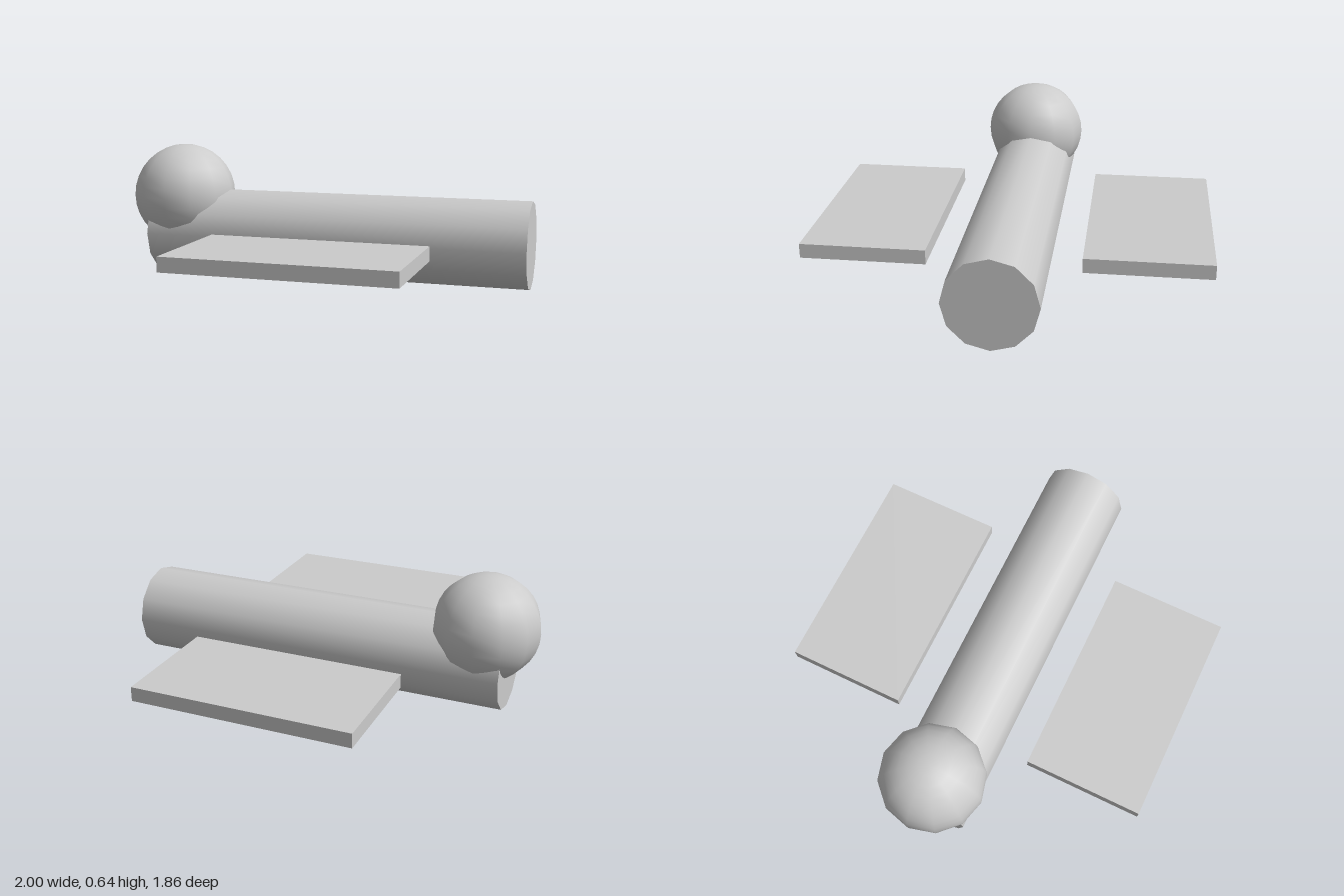
import * as THREE from 'three';

export function createModel() {
  const model = new THREE.Group();
  const material = new THREE.MeshStandardMaterial({ color: 0xcccccc });

  const addPart = (name, geometry, x, y, z) => {
    const mesh = new THREE.Mesh(geometry, material);
    mesh.name = name;
    mesh.position.set(x, y, z);
    model.add(mesh);
  };

  // Long twelve-sided body lying along x
  const radius = 0.209;
  const body = new THREE.CylinderGeometry(radius, radius, 1.863, 12).rotateZ(Math.PI / 2);
  addPart('body', body, 0.068, radius, 0);

  // Ball head sunk into the top of the body's end
  addPart('head', new THREE.SphereGeometry(0.253, 12, 16), -0.747, 0.388, 0);

  // Flat panels floating on either side
  for (const [name, side] of [['frontWing', 1], ['backWing', -1]]) {
    addPart(name, new THREE.BoxGeometry(1.045, 0.068, 0.578), 0.068, 0.212, side * 0.639);
  }

  return model;
}
